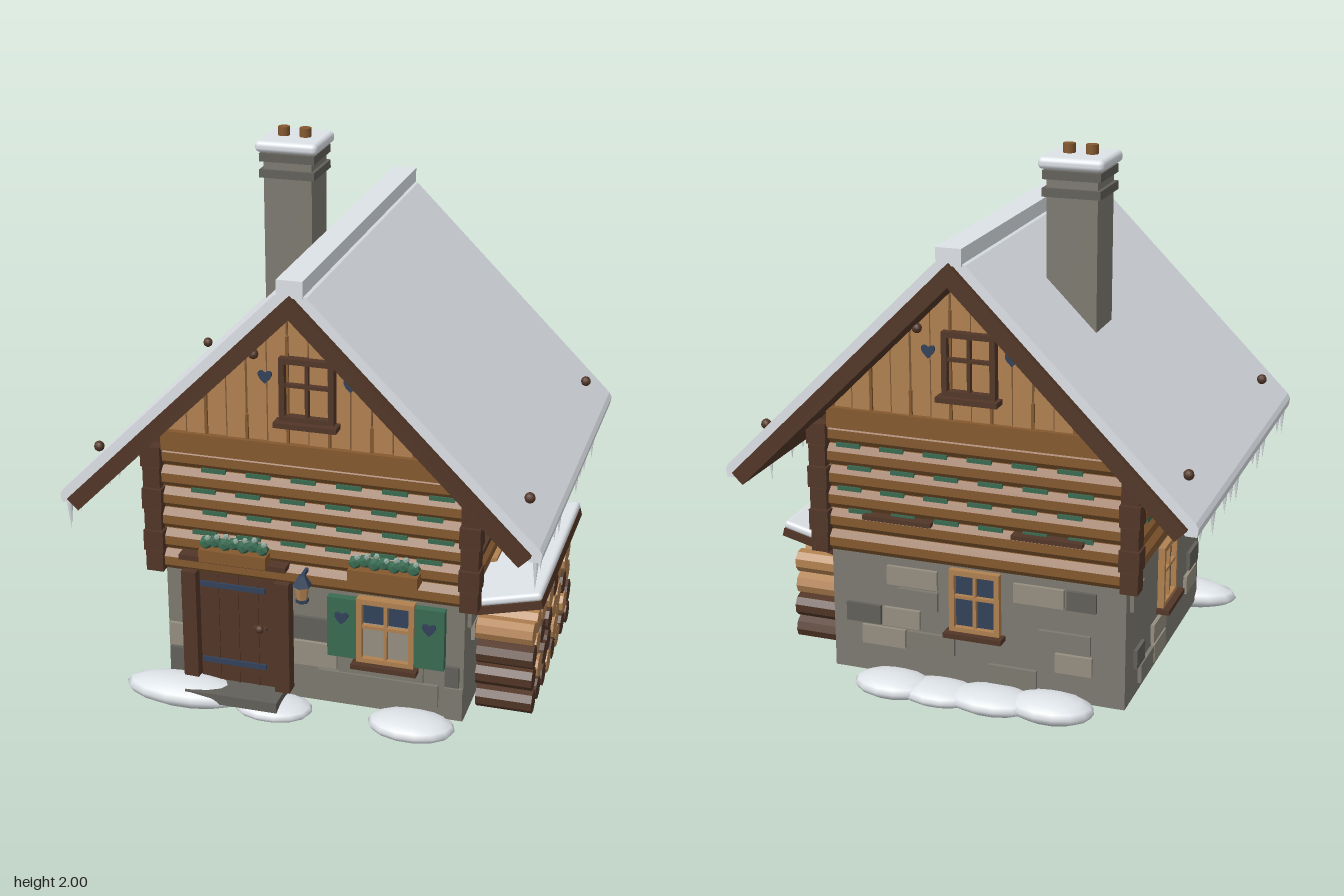
import * as THREE from 'three';
import { RoundedBoxGeometry } from 'three/addons/geometries/RoundedBoxGeometry.js';

const mat = (name, color) => Object.assign(new THREE.MeshStandardMaterial({ color }), { name });

export function createModel() {
  const M = {
    snow: mat('snow', 0xe6ebf0), stone: mat('stone', 0x7d7a70), darkStone: mat('dark stone', 0x62605a),
    lightStone: mat('light stone', 0x958f80), dark: mat('dark wood', 0x523627), mid: mat('log wood', 0x85592f),
    tan: mat('pale wood', 0xb18150), green: mat('green paint', 0x3a6b52), iron: mat('iron', 0x32425a),
    frost: mat('frosted leaf', 0x8fa89c),
  };
  const model = new THREE.Group();
  model.name = 'cabin';
  let seed = 7;
  const rnd = () => (seed = (seed * 16807) % 2147483647) / 2147483647;

  const add = (name, geo, m, x = 0, y = 0, z = 0, parent = model) => {
    const mesh = new THREE.Mesh(geo, m);
    mesh.name = name;
    mesh.position.set(x, y, z);
    parent.add(mesh);
    return mesh;
  };
  const group = (name, rotY = 0, parent = model) => {
    const g = new THREE.Group();
    g.name = name;
    g.rotation.y = rotY;
    parent.add(g);
    return g;
  };
  // Box given by its limits on each axis
  const box = (name, m, x0, x1, y0, y1, z0, z1, parent = model) =>
    add(name, new THREE.BoxGeometry(x1 - x0, y1 - y0, z1 - z0), m, (x0 + x1) / 2, (y0 + y1) / 2, (z0 + z1) / 2, parent);
  const flat = (geo) => {
    const g = geo.index ? geo.toNonIndexed() : geo;
    g.computeVertexNormals();
    return g;
  };
  // Polygon in x,y extruded between z0 and z1
  const prism = (name, m, pts, z0, z1, parent = model) => {
    const shape = new THREE.Shape(pts.map((p) => new THREE.Vector2(p[0], p[1])));
    const geo = new THREE.ExtrudeGeometry(shape, { depth: z1 - z0, bevelEnabled: false });
    return add(name, geo, m, 0, 0, z0, parent);
  };
  // Faceted log lying along x
  const logGeo = (r, len, sides) => {
    const g = new THREE.CylinderGeometry(r, r, len, sides);
    g.rotateY(Math.PI / sides);
    return flat(g.rotateZ(Math.PI / 2));
  };
  const heart = (x, y, z, parent) => {
    const s = new THREE.Shape();
    s.moveTo(0, -0.025);
    s.bezierCurveTo(0.045, 0.01, 0.02, 0.035, 0, 0.014);
    s.bezierCurveTo(-0.02, 0.035, -0.045, 0.01, 0, -0.025);
    add('heart', new THREE.ExtrudeGeometry(s, { depth: 0.008, bevelEnabled: false, curveSegments: 6 }), M.iron, x, y, z, parent);
  };

  // Stone base
  box('stoneBase', M.stone, -0.555, 0.555, 0.06, 0.53, -0.505, 0.505);

  // Framed window facing +z on a wall at depth z
  const windowAt = (parent, x, y0, y1, w, z, m, glass) => {
    const g = group('window', 0, parent), h = w / 2, t = 0.02, yc = (y0 + y1) / 2;
    for (const s of [-1, 1]) box('frameSide', m, x + s * (h - t / 2) - t / 2, x + s * (h - t / 2) + t / 2, y0, y1, z - 0.02, z + 0.025, g);
    box('frameTop', m, x - h, x + h, y1 - t, y1, z - 0.02, z + 0.025, g);
    box('frameBottom', m, x - h, x + h, y0, y0 + t, z - 0.02, z + 0.025, g);
    box('mullion', m, x - 0.006, x + 0.006, y0, y1, z, z + 0.02, g);
    box('crossbar', m, x - h, x + h, yc + 0.01, yc + 0.022, z, z + 0.02, g);
    box('sill', M.dark, x - h - 0.015, x + h + 0.015, y0 - 0.016, y0 + 0.003, z - 0.02, z + 0.05, g);
    if (glass) box('glass', M.iron, x - h + t, x + h - t, y0 + t, y1 - t, z - 0.005, z + 0.004, g);
    return g;
  };

  // Stone blocks standing slightly proud of the walls
  const tones = [M.darkStone, M.stone, M.lightStone];
  const block = (p, t, x0, x1, y0, y1, z) => box('stoneBlock', tones[t], x0, x1, y0, y1, z - 0.02, z + 0.014, p);
  const front = group('frontWall');
  [[1, 0.02, 0.465, 0.11, 0.195], [1, 0.1, 0.41, 0.2, 0.275], [2, 0.18, 0.37, 0.28, 0.41], [0, -0.07, 0.06, 0.31, 0.4],
    [2, -0.07, 0.09, 0.205, 0.3], [0, 0.49, 0.54, 0.2, 0.28], [1, 0.49, 0.555, 0.07, 0.195], [2, -0.55, -0.49, 0.21, 0.3],
    [0, -0.55, -0.49, 0.07, 0.2]].forEach((b) => block(front, b[0], b[1], b[2], b[3], b[4], 0.505));
  const walls = [['backWall', Math.PI, 0.505, 0.5], ['leftWall', Math.PI / 2, 0.555, 0.46], ['rightWall', Math.PI / 2, 0.555, 0.46]];
  walls[2][1] = Math.PI / 2;
  walls[1][1] = -Math.PI / 2;
  for (const [name, rot, z, half] of walls) {
    const g = group(name, rot);
    for (let r = 0; r < 5; r++) {
      for (let x = -half + (r % 2) * 0.06; x < half - 0.1;) {
        const w = 0.1 + rnd() * 0.1, keep = rnd() < 0.5, t = Math.floor(rnd() * 3);
        const clear = r < 2 || x > 0.1 || x + w < -0.1;
        if (keep && clear) block(g, t, x, Math.min(x + w, half), 0.09 + r * 0.082, 0.162 + r * 0.082, z);
        x += w + 0.01;
      }
    }
    windowAt(g, 0, 0.275, 0.515, 0.19, z, M.tan, true);
  }

  // Front window and shutters
  windowAt(front, 0.275, 0.26, 0.515, 0.21, 0.515, M.tan, false);
  box('glass', M.iron, 0.18, 0.37, 0.41, 0.5, 0.505, 0.514, front);
  for (const x of [0.115, 0.435]) {
    box('shutter', M.green, x - 0.054, x + 0.054, 0.27, 0.505, 0.505, 0.535, front);
    heart(x, 0.43, 0.535, front);
  }

  // Door
  const door = group('door');
  box('leaf', M.dark, -0.42, -0.13, 0.1, 0.535, 0.5, 0.53, door);
  for (const x of [-0.48, -0.13]) box('post', M.dark, x, x + 0.055, 0.1, 0.54, 0.5, 0.56, door);
  box('lintel', M.dark, -0.48, -0.08, 0.595, 0.615, 0.5, 0.575, door);
  for (const x of [-0.35, -0.275, -0.2]) box('plankGroove', M.dark, x - 0.003, x + 0.003, 0.1, 0.535, 0.53, 0.534, door);
  for (const y of [0.18, 0.49]) box('hinge', M.iron, -0.415, -0.17, y - 0.01, y + 0.01, 0.53, 0.539, door);
  add('handle', new THREE.SphereGeometry(0.016, 10, 8), M.dark, -0.19, 0.34, 0.545, door);
  box('handleBar', M.dark, -0.215, -0.165, 0.335, 0.345, 0.53, 0.55, door);
  box('doorstep', M.darkStone, -0.45, -0.1, 0.06, 0.1, 0.5, 0.64, door);

  // Log storey: core, courses of logs, moss chinking and corner ends
  box('logCore', M.dark, -0.52, 0.52, 0.525, 1.02, -0.49, 0.49);
  for (let i = 0; i < 6; i++) {
    const y = 0.568 + i * 0.082;
    for (const s of [-1, 1]) {
      add('wallLog', logGeo(0.043, 1.1, 8), M.mid, 0, y, s * 0.505);
      add('sideLog', logGeo(0.043, 1.02, 8), M.mid, s * 0.535, y, 0).rotation.y = Math.PI / 2;
      const k = i % 2 ? 0.037 : 0.032;
      for (const t of [-1, 1]) box('logEnd', M.dark, s * 0.578 - k, s * 0.578 + k, y - 0.039, y + 0.039, t * 0.53 - k, t * 0.53 + k);
      if (i > 1) for (let j = 0; j < 6; j++) {
        const x = -0.44 + j * 0.165 + (i % 2) * 0.04;
        box('moss', M.green, x, x + 0.09, y - 0.05, y - 0.034, s * 0.525 - 0.008, s * 0.525 + 0.008);
        box('moss', M.green, s * 0.555 - 0.008, s * 0.555 + 0.008, y - 0.05, y - 0.034, x, x + 0.09);
      }
    }
  }
  for (const z of [-0.06, 0.255]) box('sideLedge', M.dark, 0.53, 0.59, 0.674, 0.69, z - 0.138, z + 0.138);
  for (const x of [-0.28, 0.28]) box('backLedge', M.dark, x - 0.13, x + 0.13, 0.674, 0.69, -0.56, -0.5);

  // Gables with planks, window, hearts
  for (const rot of [0, Math.PI]) {
    const g = group('gable', rot);
    prism('gableBacking', M.dark, [[-0.6, 1.0], [0.6, 1.0], [0, 1.62]], 0.48, 0.515, g);
    box('gableBeam', M.mid, -0.54, 0.54, 1.005, 1.08, 0.48, 0.555, g);
    const w = 0.0745;
    for (let i = -7; i < 7; i++) {
      const a = i * w + 0.003, b = (i + 1) * w - 0.003, top = (x) => Math.max(1.625 - Math.abs(x), 1.081);
      prism('gablePlank', M.tan, [[a, 1.08], [b, 1.08], [b, top(b)], [a, top(a)]], 0.51, i % 2 ? 0.532 : 0.537, g);
      if (i % 2) box('batten', M.mid, a - 0.008, a + 0.002, 1.08, Math.min(top(a), 1.17 + (i % 3 ? 0.3 : 0)), 0.51, 0.541, g);
    }
    windowAt(g, 0, 1.17, 1.4, 0.195, 0.54, M.dark, false);
    for (const s of [-1, 1]) {
      heart(s * 0.152, 1.32, 0.541, g);
      add('gableKnob', new THREE.SphereGeometry(0.018, 10, 8), M.dark, s * 0.19, 1.4, 0.55, g);
    }
  }

  // Roof boards and snow cover
  prism('roofBoards', M.dark, [[0, 1.685], [-0.82, 0.865], [-0.78, 0.825], [0, 1.605], [0.78, 0.825], [0.82, 0.865]], -0.745, 0.745);
  for (const s of [-1, 1]) {
    const pts = [[0.0, 1.66], [0.79, 0.87], [0.81, 0.84], [0.85, 0.84], [0.855, 0.87], [0.845, 0.888], [0.055, 1.678], [0, 1.7]];
    prism('roofSnow', M.snow, s > 0 ? pts : pts.map(([x, y]) => [-x, y]).reverse(), -0.722, 0.722);
    for (const z of [-0.555, 0.55]) add('snowStop', new THREE.SphereGeometry(0.019, 10, 8), M.dark, s * 0.775, 0.99, z);
    // Icicles along the eaves
    [0.7, 0.61, 0.355, 0.265, 0.18, -0.08, -0.165, -0.255, -0.425, -0.6].forEach((z, i) => {
      const len = [0.12, 0.09, 0.1, 0.12, 0.07][i % 5];
      add('icicle', new THREE.ConeGeometry(0.012, len, 6).rotateX(Math.PI), M.snow, s * 0.83, 0.845 - len / 2, z);
    });
  }
  box('ridgeSnow', M.snow, -0.045, 0.045, 1.675, 1.735, -0.73, 0.73);

  // Chimney
  const chimney = group('chimney');
  chimney.position.set(-0.277, 0, -0.2);
  box('stack', M.stone, -0.091, 0.091, 1.2, 1.93, -0.091, 0.091, chimney);
  for (const y of [1.845, 1.905]) box('band', M.darkStone, -0.104, 0.104, y - 0.015, y + 0.015, -0.104, 0.104, chimney);
  add('chimneySnow', new RoundedBoxGeometry(0.236, 0.042, 0.236, 3, 0.018), M.snow, 0, 1.946, 0, chimney);
  for (const x of [-0.041, 0.041]) add('pot', new THREE.CylinderGeometry(0.022, 0.022, 0.06, 10), M.mid, x, 1.97, 0, chimney);

  // Flower boxes
  for (const x of [-0.27, 0.28]) {
    const g = group('flowerBox');
    box('planter', M.mid, x - 0.125, x + 0.125, 0.61, 0.657, 0.535, 0.6, g);
    for (let i = 0; i < 7; i++) {
      const px = x - 0.105 + i * 0.035;
      add('leaves', new THREE.IcosahedronGeometry(0.026), M.green, px, 0.675 + (i % 2) * 0.008, 0.57, g);
      add('frostedFlower', new THREE.IcosahedronGeometry(0.012), M.frost, px + 0.01, 0.698 + (i % 3) * 0.007, 0.578, g);
    }
  }

  // Lantern
  const lantern = group('lantern');
  lantern.position.set(-0.01, 0, 0.6);
  box('bracket', M.iron, -0.006, 0.006, 0.6, 0.612, -0.06, 0.005, lantern);
  add('lampGlass', flat(new THREE.CylinderGeometry(0.026, 0.02, 0.055, 6)), M.tan, 0, 0.545, 0, lantern);
  add('lampCap', flat(new THREE.CylinderGeometry(0.012, 0.036, 0.04, 6)), M.iron, 0, 0.592, 0, lantern);
  add('lampFoot', flat(new THREE.CylinderGeometry(0.024, 0.024, 0.012, 6)), M.iron, 0, 0.514, 0, lantern);

  // Firewood stack: one letter per log, t pale and d dark
  const pile = group('woodpile');
  ['dddtdtdd', 'dtddtttd', 'dtddttdt', 'ttttdttt'].forEach((row, r) => [...row].forEach((c, i) => {
    const log = add('firewood', logGeo(0.044, 0.205, 9), c === 't' ? M.tan : M.dark,
      0.677 + (rnd() - 0.5) * 0.012, 0.107 + r * 0.09, 0.37 - i * 0.1 + (r % 2 ? 0 : 0.005), pile);
    log.rotation.x = rnd();
  }));
  const lean = group('woodpileRoof');
  lean.position.set(0.685, 0.48, 0);
  lean.rotation.z = 0.245;
  box('board', M.dark, -0.135, 0.125, -0.014, 0.016, -0.4, 0.4, lean);
  add('boardSnow', new RoundedBoxGeometry(0.268, 0.032, 0.8, 3, 0.014), M.snow, -0.005, 0.031, 0, lean);

  // Snow drifts: x, z, half width, half height
  [[-0.47, 0.565, 0.235, 0.055], [-0.14, 0.56, 0.15, 0.035], [0.38, 0.56, 0.16, 0.044],
    [0.3, -0.56, 0.15, 0.045], [0.12, -0.56, 0.15, 0.04], [-0.08, -0.565, 0.17, 0.045], [-0.3, -0.56, 0.16, 0.05],
  ].forEach(([x, z, rx, ry]) => {
    add('snowDrift', new THREE.SphereGeometry(1, 14, 8), M.snow, x, ry + 0.005, z).scale.set(rx, ry, 0.1);
  });
  return model;
}
